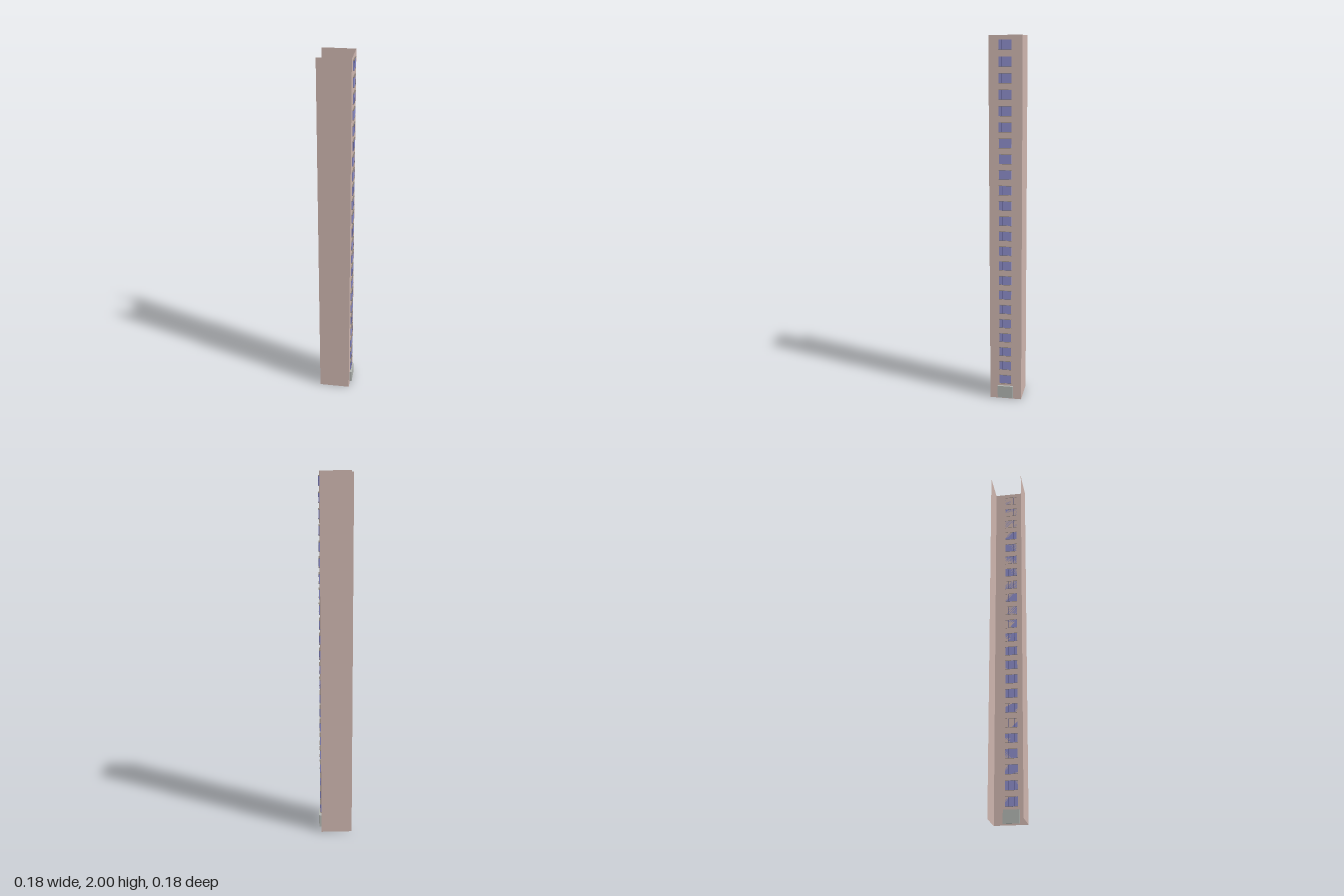
import * as THREE from 'three';

export function createModel() {
  const tower = new THREE.Group();
  tower.name = 'towerFacade';

  const paint = (color, side = THREE.FrontSide) =>
    new THREE.MeshStandardMaterial({ color, side });
  const wallMat = paint(0xcdb5ae, THREE.DoubleSide);
  const glassMat = paint(0x8c8cc8);
  const mullionMat = paint(0x5c5c90);
  const ledgeMat = paint(0x8a8078);
  const doorMat = paint(0xb0b4b0);

  const height = 2, floors = 24, pitch = height / floors;
  const xOpen = -0.092, xFace = 0.08, halfDepth = 0.088;

  const add = (parent, name, geometry, material, x, y, z) => {
    const mesh = new THREE.Mesh(geometry, material);
    mesh.name = name;
    mesh.position.set(x, y, z);
    parent.add(mesh);
    return mesh;
  };

  // Three thin walls, open on the -x side, with no roof or floor
  const sideGeo = new THREE.PlaneGeometry(xFace - xOpen, height);
  const midX = (xFace + xOpen) / 2;
  add(tower, 'frontWall', sideGeo, wallMat, midX, height / 2, halfDepth);
  add(tower, 'backWall', sideGeo, wallMat, midX, height / 2, -halfDepth).rotation.y = Math.PI;
  add(tower, 'windowWall', new THREE.PlaneGeometry(halfDepth * 2, height), wallMat,
    xFace, height / 2, 0).rotation.y = Math.PI / 2;

  // One window per upper floor: glass, two mullions, head and sill
  const glassGeo = new THREE.BoxGeometry(0.005, 0.05, 0.066);
  const mullionGeo = new THREE.BoxGeometry(0.006, 0.05, 0.002);
  const ledgeGeo = new THREE.BoxGeometry(0.007, 0.002, 0.068);
  for (let i = 1; i < floors; i++) {
    const win = new THREE.Group();
    win.name = 'window' + i;
    win.position.set(xFace + 0.0025, i * pitch + 0.035, 0.002);
    add(win, 'glass', glassGeo, glassMat, 0, 0, 0);
    for (const z of [-0.016, 0.016]) add(win, 'mullion', mullionGeo, mullionMat, 0, 0, z);
    for (const y of [-0.025, 0.025]) add(win, 'ledge', ledgeGeo, ledgeMat, 0.0005, y, 0);
    tower.add(win);
  }

  // Entrance door block at the foot of the window wall
  add(tower, 'door', new THREE.BoxGeometry(0.017, 0.07, 0.086), doorMat, 0.0835, 0.043, 0.001);

  return tower;
}
